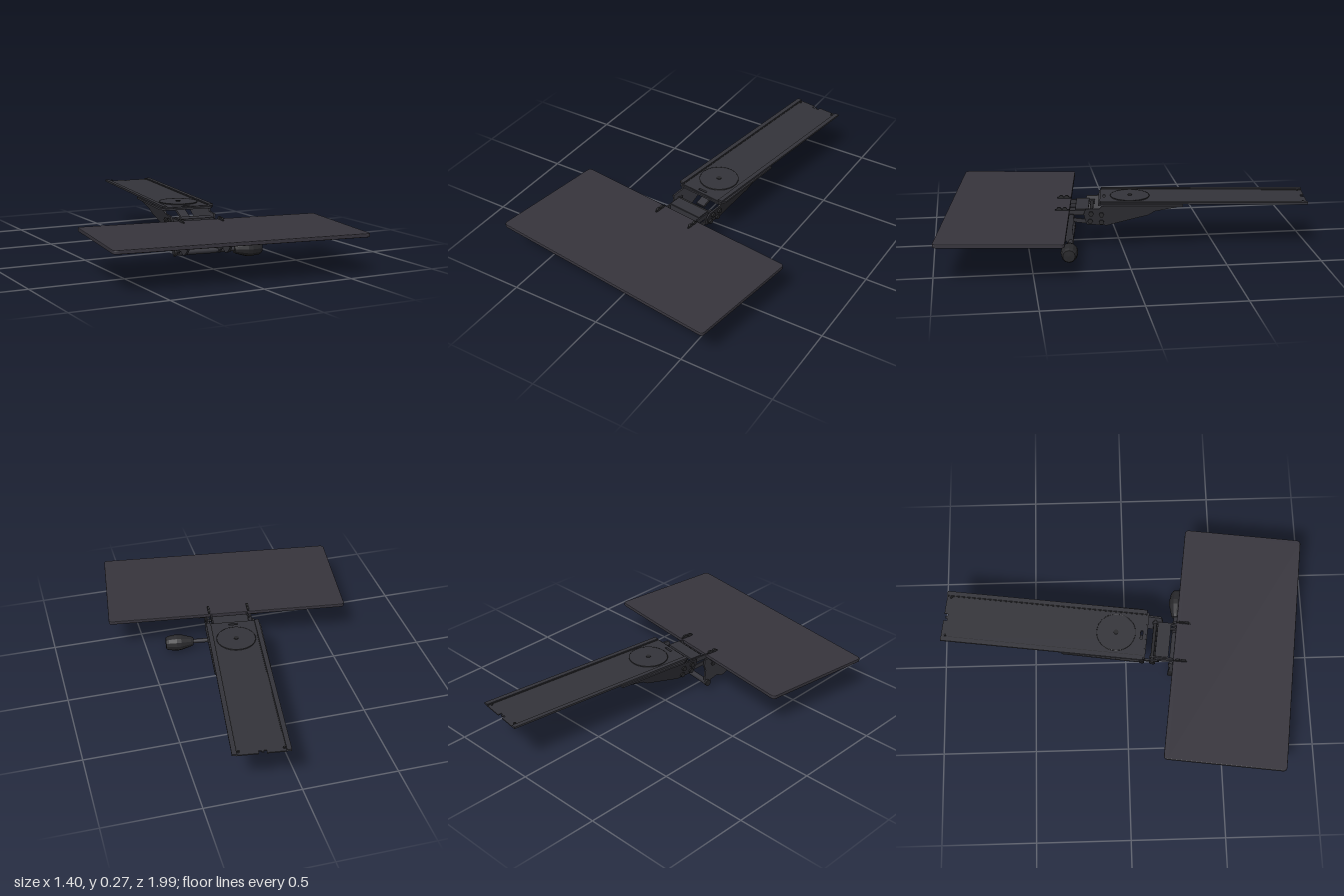
import * as THREE from 'three';

const panelMat = new THREE.MeshStandardMaterial({ color: 0x37353d });
panelMat.name = 'charcoal panel';
const metalMat = new THREE.MeshStandardMaterial({ color: 0x34343a });
metalMat.name = 'dark metal';
const trimMat = new THREE.MeshStandardMaterial({ color: 0x28282b });
trimMat.name = 'black trim';

const toShape = (pts) => new THREE.Shape(pts.map((p) => new THREE.Vector2(...p)));
const slot = (x0, x1, z0, z1) => new THREE.Path([[x0, z0], [x0, z1], [x1, z1], [x1, z0]].map((p) => new THREE.Vector2(...p)));

function add(parent, name, geo, mat, x = 0, y = 0, z = 0) {
  const m = new THREE.Mesh(geo, mat);
  m.name = name;
  m.position.set(x, y, z);
  parent.add(m);
  return m;
}

// horizontal plate from an (x, z) outline, top face at y = 0
function flatPlate(shape, t) {
  return new THREE.ExtrudeGeometry(shape, { depth: t, bevelEnabled: false, curveSegments: 6 }).rotateX(Math.PI / 2);
}

// upright plate from a (z, y) outline, centred on x = 0
function sidePlate(shape, t) {
  return new THREE.ExtrudeGeometry(shape, { depth: t, bevelEnabled: false, curveSegments: 8 })
    .rotateY(-Math.PI / 2).translate(t / 2, 0, 0);
}

const rodX = (r, len, seg = 16) => new THREE.CylinderGeometry(r, r, len, seg).rotateZ(Math.PI / 2);

function roundedRect(w, h, r) {
  const s = new THREE.Shape(), a = w / 2, b = h / 2;
  s.moveTo(-a + r, -b).lineTo(a - r, -b).quadraticCurveTo(a, -b, a, -b + r);
  s.lineTo(a, b - r).quadraticCurveTo(a, b, a - r, b);
  s.lineTo(-a + r, b).quadraticCurveTo(-a, b, -a, b - r);
  s.lineTo(-a, -b + r).quadraticCurveTo(-a, -b, -a + r, -b);
  return s;
}

function makeRail() {
  const g = new THREE.Group();
  g.name = 'slideRail';
  // sunken web with a notched rear end and a stop slot at the front
  const web = toShape([[-0.125, -0.997], [-0.025, -0.997], [-0.025, -0.978], [-0.012, -0.978], [-0.012, -0.988],
    [0.0, -0.988], [0.0, -0.978], [0.014, -0.978], [0.014, -0.997], [0.125, -0.997], [0.125, 0.1], [-0.125, 0.1]]);
  web.holes.push(slot(-0.025, 0.025, 0.072, 0.084));
  add(g, 'railWeb', flatPlate(web, 0.006), metalMat, 0, 0.268, 0);
  for (const s of [-1, 1]) {
    add(g, 'railLip', new THREE.BoxGeometry(0.024, 0.01, 1.095), metalMat, s * 0.132, 0.27, -0.45);
    add(g, 'railGroove', new THREE.BoxGeometry(0.004, 0.004, 1.09), trimMat, s * 0.118, 0.268, -0.45);
    add(g, 'railEndStop', new THREE.CylinderGeometry(0.006, 0.006, 0.008, 10), trimMat, s * 0.11, 0.272, -0.975);
  }
  // swivel disc
  add(g, 'swivelDisc', new THREE.CylinderGeometry(0.105, 0.105, 0.006, 40), metalMat, 0, 0.27, -0.06);
  add(g, 'swivelRim', new THREE.TorusGeometry(0.104, 0.002, 6, 40).rotateX(Math.PI / 2), trimMat, 0, 0.272, -0.06);
  add(g, 'swivelPin', new THREE.CylinderGeometry(0.013, 0.013, 0.008, 16), trimMat, 0, 0.273, -0.06);
  return g;
}

function makeArm() {
  const g = new THREE.Group();
  g.name = 'liftArm';
  const top = toShape([[-0.148, -0.34], [-0.1, -0.34], [-0.06, -0.2], [0.06, -0.2], [0.1, -0.34], [0.148, -0.34],
    [0.152, 0.07], [0.13, 0.108], [-0.13, 0.108], [-0.152, 0.07]]);
  top.holes.push(slot(-0.025, 0.025, 0.072, 0.084));
  add(g, 'armTopPlate', flatPlate(top, 0.01), metalMat, 0, 0.262, 0);
  const outline = toShape([[0.175, 0.232], [0.185, 0.2], [0.17, 0.14], [0.06, 0.133], [0.03, 0.143], [-0.16, 0.198],
    [-0.19, 0.22], [-0.31, 0.246], [-0.31, 0.26], [0.08, 0.26], [0.1, 0.235]]);
  for (const s of [-1, 1]) {
    // side walls lean outward toward the top
    const geo = sidePlate(outline, 0.01), p = geo.attributes.position;
    for (let i = 0; i < p.count; i++) p.setX(i, p.getX(i) + s * (0.115 + (p.getY(i) - 0.2) * 0.3));
    geo.computeVertexNormals();
    add(g, 'armSideWall', geo, metalMat);
    for (const [z, y] of [[0.09, 0.155], [0.09, 0.2], [0.145, 0.205], [0.15, 0.16]])
      add(g, 'armBolt', rodX(0.014, 0.014, 6), trimMat, s * (0.124 + (y - 0.2) * 0.3), y, z);
    // parallel links to the tray bracket
    add(g, 'upperLink', new THREE.BoxGeometry(0.008, 0.026, 0.19), metalMat, s * 0.1, 0.205, 0.225);
    const low = add(g, 'lowerLink', new THREE.BoxGeometry(0.008, 0.022, 0.17), metalMat, s * 0.092, 0.16, 0.22);
    low.rotation.x = -0.1;
  }
  add(g, 'linkCover', new THREE.BoxGeometry(0.196, 0.012, 0.07), metalMat, 0, 0.218, 0.195);
  add(g, 'linkCoverLip', new THREE.BoxGeometry(0.196, 0.03, 0.008), metalMat, 0, 0.205, 0.228);
  add(g, 'armRod', rodX(0.009, 0.23), trimMat, 0, 0.158, 0.15);
  add(g, 'armRod', rodX(0.009, 0.24), trimMat, 0, 0.205, 0.145);
  add(g, 'linkRod', rodX(0.008, 0.23), trimMat, 0, 0.155, 0.295);
  // tension strut under the arm
  const strut = add(g, 'tensionStrut', new THREE.BoxGeometry(0.05, 0.014, 0.19), metalMat, 0, 0.215, 0.01);
  strut.rotation.x = 0.35;
  return g;
}

function makeTrayBracket() {
  const g = new THREE.Group();
  g.name = 'trayBracket';
  const s = new THREE.Shape();
  s.moveTo(0.59, 0.2).lineTo(0.59, 0.184).lineTo(0.5, 0.18);
  s.quadraticCurveTo(0.455, 0.175, 0.445, 0.13).quadraticCurveTo(0.425, 0.07, 0.36, 0.055);
  s.lineTo(0.33, 0.072).lineTo(0.285, 0.06).quadraticCurveTo(0.255, 0.02, 0.237, 0.045);
  s.lineTo(0.245, 0.13).lineTo(0.235, 0.16).lineTo(0.24, 0.2);
  for (const k of [-1, 1]) {
    add(g, 'bracketCheek', sidePlate(s, 0.012), metalMat, k * 0.118, 0, 0);
    add(g, 'bracketFlange', new THREE.BoxGeometry(0.06, 0.008, 0.32), metalMat, k * 0.14, 0.196, 0.43);
    for (const z of [0.36, 0.54])
      add(g, 'flangeScrew', new THREE.CylinderGeometry(0.01, 0.008, 0.008, 12), trimMat, k * 0.15, 0.19, z);
    add(g, 'cheekBolt', rodX(0.014, 0.018, 6), trimMat, k * 0.122, 0.16, 0.295);
    // slim hooks showing above the panel
    add(g, 'panelHook', new THREE.BoxGeometry(0.007, 0.008, 0.075), trimMat, k * 0.11, 0.223, 0.298);
    for (const z of [0.285, 0.315])
      add(g, 'hookPin', rodX(0.013, 0.01, 14), trimMat, k * 0.11, 0.225, z);
  }
  // adjustment rod and its sleeve
  add(g, 'adjusterSleeve', rodX(0.015, 0.22), metalMat, -0.01, 0.05, 0.254);
  add(g, 'adjusterRod', rodX(0.012, 0.36), metalMat, 0.055, 0.05, 0.254);
  add(g, 'rodEndCap', rodX(0.018, 0.012), trimMat, -0.13, 0.05, 0.254);
  // faceted grip knob
  const prof = [[0, 0.205], [0.022, 0.205], [0.028, 0.22], [0.044, 0.275], [0.046, 0.3], [0.04, 0.345], [0.032, 0.36], [0, 0.362]];
  const knob = new THREE.LatheGeometry(prof.map((p) => new THREE.Vector2(...p)), 12).rotateZ(-Math.PI / 2).toNonIndexed();
  knob.computeVertexNormals();
  add(g, 'gripKnob', knob, trimMat, 0, 0.05, 0.254);
  return g;
}

export function createModel() {
  const model = new THREE.Group();
  model.name = 'keyboardTray';
  const turned = new THREE.Group();
  turned.name = 'turnedAssembly';
  turned.rotation.y = -0.131;
  model.add(turned);

  // wide keyboard panel with rounded corners and edges
  const panel = new THREE.ExtrudeGeometry(roundedRect(1.322, 0.639, 0.018), {
    depth: 0.012, bevelEnabled: true, bevelThickness: 0.004, bevelSize: 0.004, bevelSegments: 2, curveSegments: 6,
  }).rotateX(Math.PI / 2);
  add(turned, 'trayPanel', panel, panelMat, 0.077, 0.217, 0.583);

  const mechanism = new THREE.Group();
  mechanism.name = 'mechanism';
  mechanism.position.x = 0.072;
  mechanism.add(makeRail(), makeArm(), makeTrayBracket());
  turned.add(mechanism);
  return model;
}
